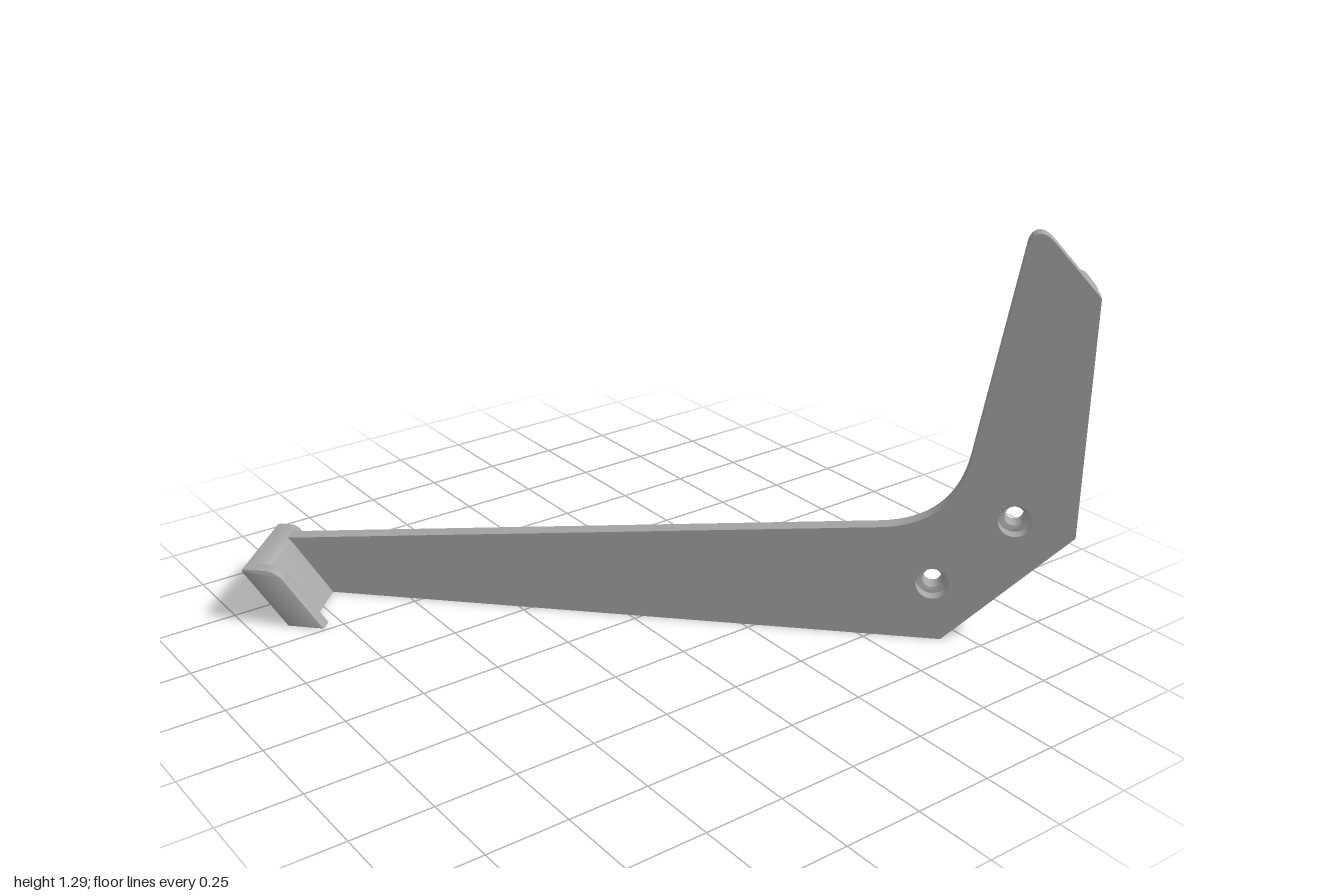
import * as THREE from 'three';
import { toCreasedNormals } from 'three/addons/utils/BufferGeometryUtils.js';

const grey = new THREE.MeshStandardMaterial({ color: 0xa6a6a6 });
grey.name = 'grey';

// Screw hole centres in the plane of the bracket
const holes = [[0.904, 0.187], [1.13, 0.412]];

function addHoles(shape, radius) {
  for (const [u, y] of holes) {
    const hole = new THREE.Path();
    hole.absarc(u, y, radius, 0, Math.PI * 2, true);
    shape.holes.push(hole);
  }
}

// Closed polygon whose corners are rounded by the optional third number
function roundedShape(points) {
  const shape = new THREE.Shape();
  const n = points.length;
  points.forEach(([x, y, r = 0], i) => {
    const p = new THREE.Vector2(x, y);
    const toward = (q) => {
      const v = new THREE.Vector2(q[0], q[1]).sub(p);
      return p.clone().add(v.setLength(Math.min(r, v.length() * 0.49)));
    };
    const a = r ? toward(points[(i + n - 1) % n]) : p;
    if (i === 0) shape.moveTo(a.x, a.y);
    else shape.lineTo(a.x, a.y);
    if (r) {
      const b = toward(points[(i + 1) % n]);
      shape.quadraticCurveTo(x, y, b.x, b.y);
    }
  });
  shape.closePath();
  return shape;
}

// Slab between two depths, with an optional chamfer that stays inside the outline
function slab(name, shape, back, front, bevel = 0) {
  const geo = new THREE.ExtrudeGeometry(shape, {
    depth: front - back - 2 * bevel,
    bevelEnabled: bevel > 0,
    bevelThickness: bevel,
    bevelSize: bevel,
    bevelOffset: -bevel,
    bevelSegments: 2,
    curveSegments: 16,
  });
  geo.translate(0, 0, back + bevel);
  const mesh = new THREE.Mesh(toCreasedNormals(geo, 0.5), grey);
  mesh.name = name;
  return mesh;
}

export function createModel() {
  const model = new THREE.Group();
  model.name = 'bracket';
  const body = new THREE.Group();
  body.name = 'bracketBody';
  body.rotation.y = Math.PI / 4;
  model.add(body);

  // Thin web: long arm, curved inner corner and upright
  const web = roundedShape([
    [-1.04, 0], [0.94, 0], [1.307, 0.37], [1.307, 1.11],
    [1.14, 1.295, 0.05], [1.1, 1.28, 0.03],
    [0.955, 0.385, 0.22], [-1.17, 0.178],
  ]);
  addHoles(web, 0.05);
  body.add(slab('web', web, -0.068, -0.02));

  // Raised rib along the outer edge, widening into the screw boss
  const rib = roundedShape([
    [-1.04, 0], [0.94, 0], [1.307, 0.37], [1.307, 1.11, 0.02],
    [1.25, 1.178, 0.03], [1.232, 1.12, 0.02], [1.19, 0.57, 0.01],
    [1.125, 0.58, 0.04], [0.785, 0.22, 0.03], [0.775, 0.115],
    [-0.98, 0.085], [-1.1, 0.085],
  ]);
  addHoles(rib, 0.028);
  body.add(slab('ribAndBoss', rib, -0.113, -0.056, 0.01));

  // Slanted end flange crossing the tip of the arm
  const flange = roundedShape([
    [-1.05, 0], [-0.983, 0], [-1.12, 0.187, 0.02], [-1.192, 0.187, 0.02],
  ]);
  body.add(slab('endFlange', flange, -0.113, 0.21, 0.008));

  // Return lip on the outer side of the flange
  const lip = roundedShape([
    [-1.05, 0], [-0.935, 0], [-1.075, 0.187, 0.04], [-1.192, 0.187, 0.02],
  ]);
  body.add(slab('returnLip', lip, 0.17, 0.216, 0.004));

  return model;
}
